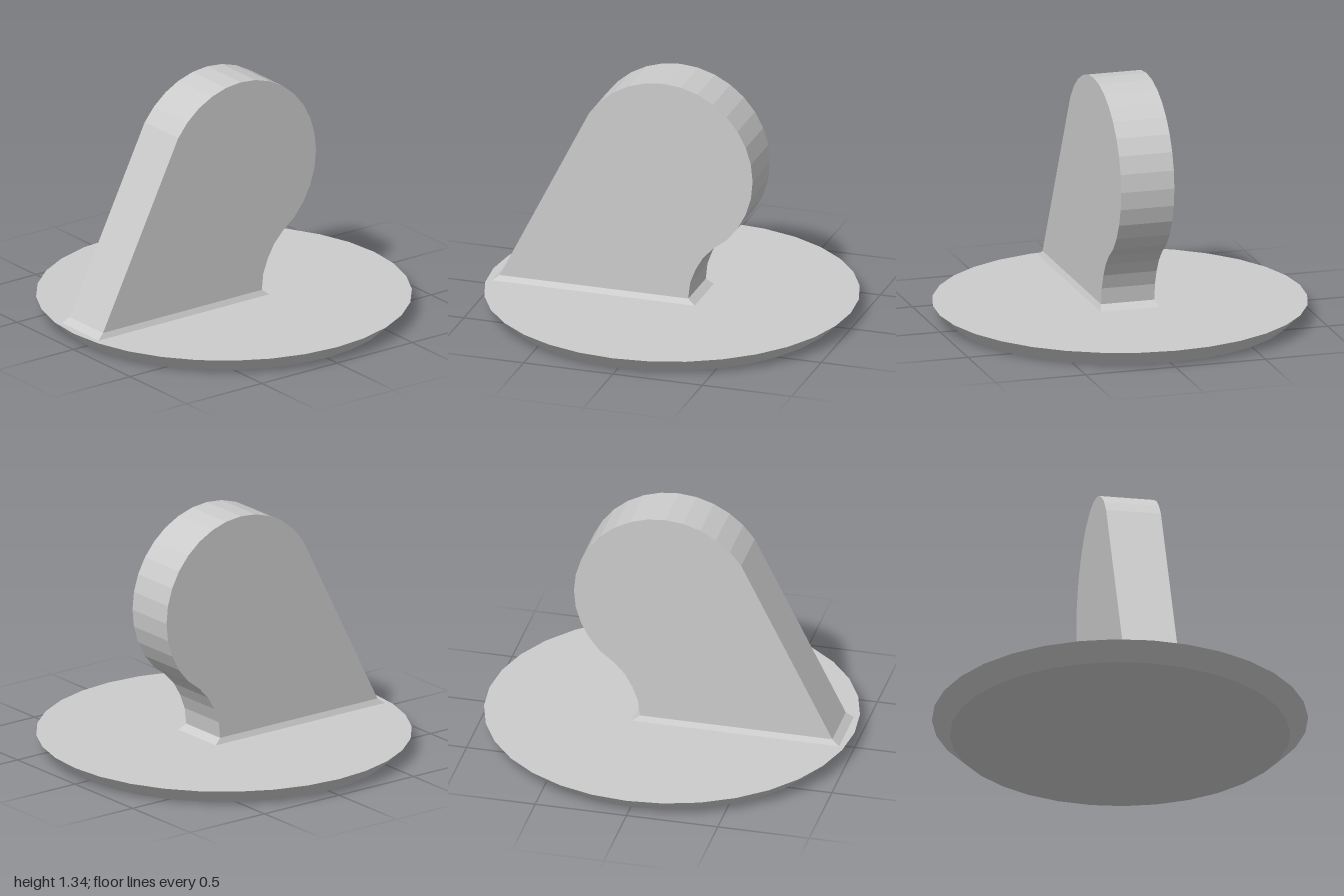
import * as THREE from 'three';

const material = new THREE.MeshStandardMaterial({ color: 0xcccccc, flatShading: true });

function addPart(group, name, geometry) {
  const mesh = new THREE.Mesh(geometry, material);
  mesh.name = name;
  group.add(mesh);
}

export function createModel() {
  const group = new THREE.Group();
  group.name = 'roundBaseWithFin';
  const baseTop = 0.09, footTop = 0.12, halfWidth = 0.148;

  // Round base with a bevelled underside
  const base = new THREE.CylinderGeometry(1, 0.905, baseTop, 32);
  base.translate(0, baseTop / 2, 0);
  addPart(group, 'base', base);

  // Fin profile (shape x becomes model z): straight front, round head, concave neck
  const points = [new THREE.Vector2(0.915, footTop)];
  const step = Math.PI / 16, radius = 0.5, headY = 0.835;
  for (let i = 3; i <= 20; i++) {
    points.push(new THREE.Vector2(radius * Math.cos(i * step), headY + radius * Math.sin(i * step)));
  }
  for (const [z, y] of [[-0.28, 0.425], [-0.222, 0.363], [-0.18, 0.29], [-0.15, 0.21], [-0.14, footTop]]) {
    points.push(new THREE.Vector2(z, y));
  }
  const fin = new THREE.ExtrudeGeometry(new THREE.Shape(points), {
    depth: halfWidth * 2, bevelEnabled: false,
  });
  fin.translate(0, 0, -halfWidth);
  fin.rotateY(-Math.PI / 2);
  addPart(group, 'fin', fin);

  // Flared foot where the fin meets the base
  const foot = new THREE.BoxGeometry(1, 1, 1);
  const pos = foot.attributes.position;
  for (let i = 0; i < pos.count; i++) {
    const top = pos.getY(i) > 0;
    const front = pos.getZ(i) > 0;
    const x = Math.sign(pos.getX(i)) * (top ? halfWidth : 0.162);
    const z = front ? (top ? 0.915 : 0.955) : (top ? -0.14 : -0.18);
    pos.setXYZ(i, x, top ? footTop : baseTop, z);
  }
  foot.computeVertexNormals();
  addPart(group, 'finFoot', foot);

  return group;
}
